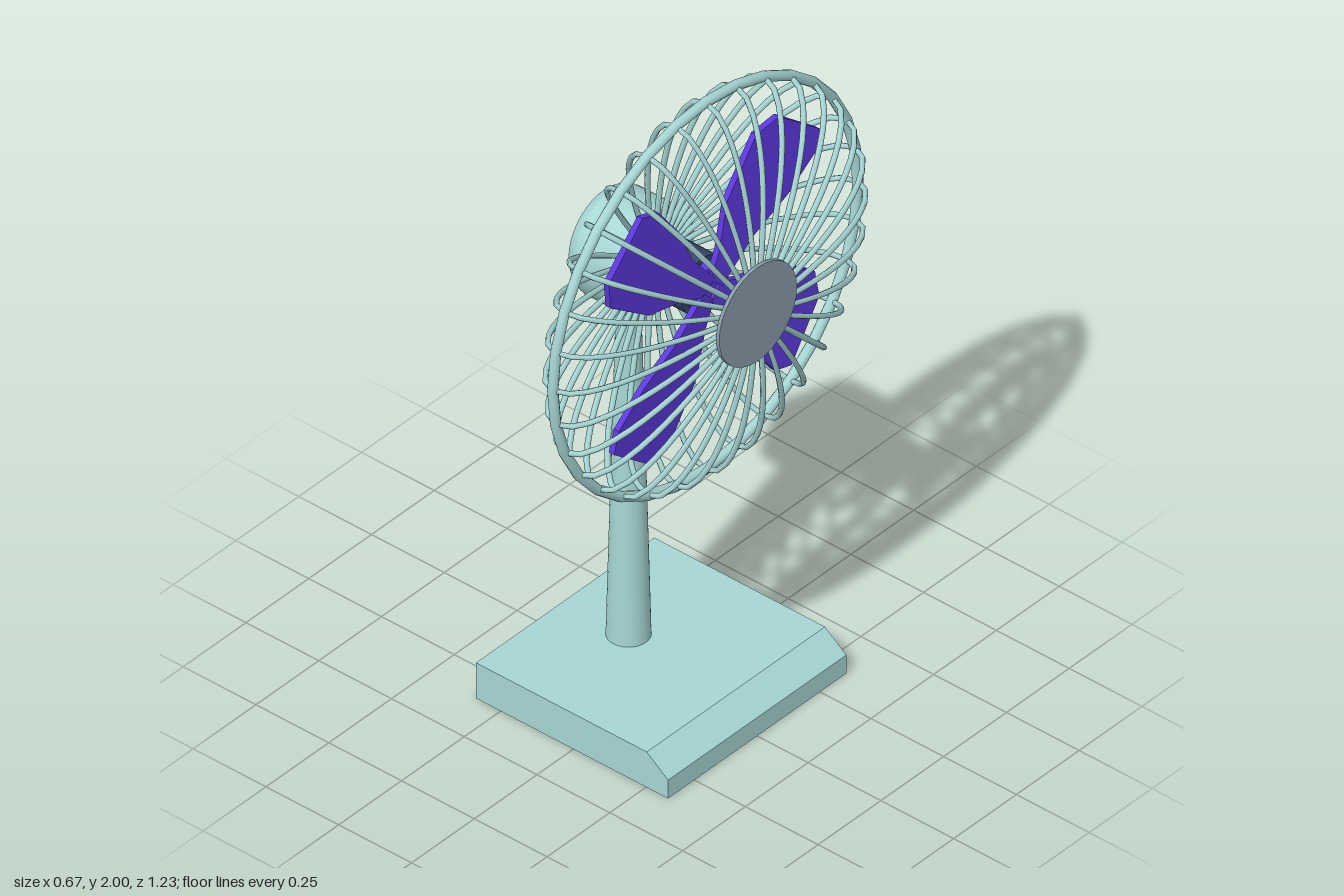
import * as THREE from 'three';

const mat = (color, extra = {}) => new THREE.MeshStandardMaterial({ color, ...extra });
const MINT = mat(0xa6d6d5);
const MINT_FLAT = mat(0xa6d6d5, { flatShading: true });
const PURPLE = mat(0x5d38e0, { flatShading: true });
const NAVY = mat(0x39466b);
const GREY = mat(0x8a9dac);

const AXIS_Y = 1.383; // height of the fan axle
const RING_X = 0.147; // plane of the guard ring
const RING_R = 0.6;

function add(parent, name, geometry, material) {
  const mesh = new THREE.Mesh(geometry, material);
  mesh.name = name;
  parent.add(mesh);
  return mesh;
}

// Cylinder lying along x, from x0 to x1
function axleCylinder(radius, x0, x1, sides = 32) {
  return new THREE.CylinderGeometry(radius, radius, x1 - x0, sides)
    .rotateZ(-Math.PI / 2).translate((x0 + x1) / 2, 0, 0);
}

// Half-ellipse guard wire, from the front pole over the ring to the rear pole
function wireGeometry() {
  const points = [];
  for (let i = 0; i <= 16; i++) {
    const a = (i / 16) * Math.PI;
    points.push(new THREE.Vector3(0.172 * Math.cos(a), RING_R * Math.sin(a), 0));
  }
  return new THREE.TubeGeometry(new THREE.CatmullRomCurve3(points), 28, 0.008, 6);
}

// One thin blade reaching up along y, with a slight pitch
function bladeGeometry() {
  const outline = [
    [-0.03, 0.02], [0.03, 0.02], [0.045, 0.17], [0.094, 0.31], [0.113, 0.44],
    [0.08, 0.5], [-0.113, 0.48], [-0.165, 0.41], [-0.136, 0.22], [-0.06, 0.1],
  ].map(([v, u]) => new THREE.Vector2(v, u));
  const geo = new THREE.ExtrudeGeometry(new THREE.Shape(outline), { depth: 0.018, bevelEnabled: false });
  const p = geo.attributes.position;
  for (let i = 0; i < p.count; i++) {
    p.setZ(i, p.getZ(i) + 0.05 * p.getX(i) + 0.02 * p.getY(i));
  }
  geo.computeVertexNormals();
  // the blade faces +x, its width runs towards -z
  return geo.rotateY(Math.PI / 2);
}

// Motor housing: pointed at the back, drawn down a little towards the post
function housingGeometry() {
  const profile = [
    [0.0001, -0.283], [0.138, -0.204], [0.138, -0.204], [0.147, -0.192], [0.152, -0.175],
    [0.152, -0.175], [0.153, -0.024], [0.153, -0.024], [0.0001, -0.024],
  ].map(([r, x]) => new THREE.Vector2(r, x));
  const geo = new THREE.LatheGeometry(profile, 40).rotateZ(-Math.PI / 2);
  const p = geo.attributes.position;
  for (let i = 0; i < p.count; i++) {
    if (p.getY(i) < 0) p.setY(i, p.getY(i) * 1.16);
  }
  return geo;
}

export function createModel() {
  const model = new THREE.Group();
  model.name = 'deskFan';

  // Base slab with a sloped front edge
  const side = new THREE.Shape([
    [-0.335, 0], [0.325, 0], [0.325, 0.06], [0.252, 0.116], [-0.335, 0.116],
  ].map(([x, y]) => new THREE.Vector2(x, y)));
  const base = new THREE.ExtrudeGeometry(side, { depth: 0.71, bevelEnabled: false });
  add(model, 'base', base.translate(0, 0, -0.355), MINT_FLAT);

  // Tapered post
  const post = add(model, 'post', new THREE.CylinderGeometry(0.032, 0.06, 1.13, 32), MINT);
  post.position.set(-0.117, 0.68, 0);

  // Motor
  const housing = add(model, 'motorHousing', housingGeometry(), MINT);
  housing.material = mat(0xa6d6d5, { side: THREE.DoubleSide });
  housing.position.y = AXIS_Y;
  const axle = add(model, 'axle', axleCylinder(0.086, -0.03, 0.138), NAVY);
  axle.position.y = AXIS_Y;

  // Rotor with four blades
  const rotor = new THREE.Group();
  rotor.name = 'rotor';
  rotor.position.y = AXIS_Y;
  model.add(rotor);
  add(rotor, 'rotorHub', axleCylinder(0.07, 0.13, 0.165, 16), PURPLE);
  const bladeGeo = bladeGeometry();
  for (let i = 0; i < 4; i++) {
    const blade = add(rotor, 'blade', bladeGeo, PURPLE);
    blade.position.x = 0.155;
    blade.rotation.x = -Math.PI / 4 + (i * Math.PI) / 2;
  }

  // Wire guard, turned very slightly about the vertical
  const guard = new THREE.Group();
  guard.name = 'guard';
  guard.position.set(RING_X, AXIS_Y, 0);
  guard.rotation.y = -0.011;
  model.add(guard);
  add(guard, 'guardRing', new THREE.TorusGeometry(RING_R, 0.015, 10, 32).rotateY(Math.PI / 2), MINT);
  const wireGeo = wireGeometry();
  for (let i = 0; i < 32; i++) {
    add(guard, 'guardWire', wireGeo, MINT).rotation.x = (i / 32) * Math.PI * 2;
  }
  add(guard, 'guardCap', axleCylinder(0.153, 0.172, 0.183), GREY);

  return model;
}
